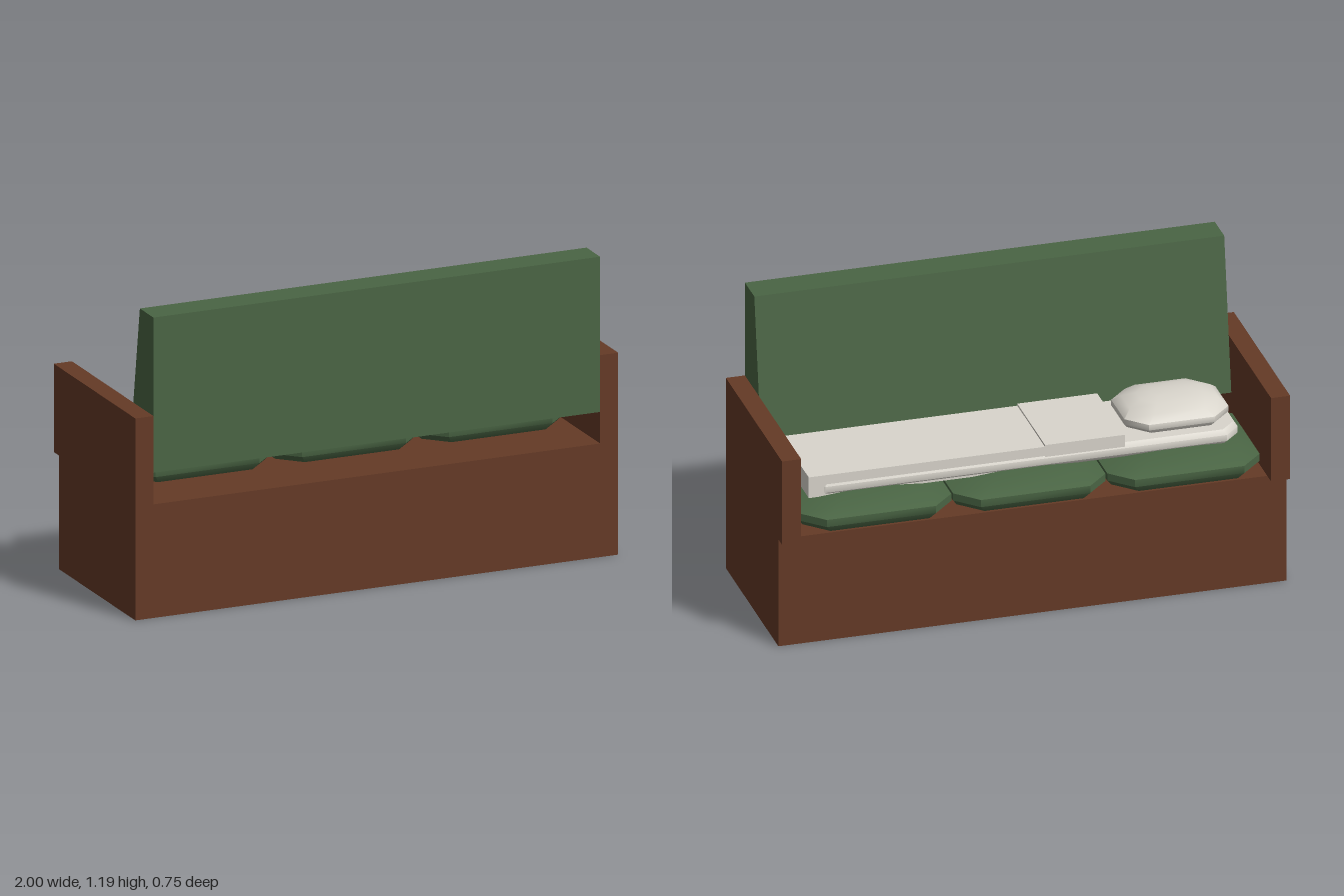
import * as THREE from 'three';
import { toCreasedNormals } from 'three/addons/utils/BufferGeometryUtils.js';

const wood = new THREE.MeshStandardMaterial({ color: 0x653a26, side: THREE.DoubleSide });
wood.name = 'brown wood';
const fabric = new THREE.MeshStandardMaterial({ color: 0x4a6544 });
fabric.name = 'green fabric';
const linen = new THREE.MeshStandardMaterial({ color: 0xd9d5cc });
linen.name = 'white linen';

function add(group, name, geometry, material, x = 0, y = 0, z = 0) {
  const mesh = new THREE.Mesh(geometry, material);
  mesh.name = name;
  mesh.position.set(x, y, z);
  group.add(mesh);
  return mesh;
}

// Box given by its minimum and maximum on each axis
function block(group, name, material, [x0, x1], [y0, y1], [z0, z1]) {
  return add(group, name, new THREE.BoxGeometry(x1 - x0, y1 - y0, z1 - z0), material,
    (x0 + x1) / 2, (y0 + y1) / 2, (z0 + z1) / 2);
}

// Soft slab: stacked octagons, each ring being [height, inset], closed by centre points
function softSlab(width, depth, cut, rings, crease) {
  const points = [];
  const index = [];
  for (const [y, inset] of rings) {
    const a = width / 2 - inset;
    const b = depth / 2 - inset;
    const c = Math.min(cut, a * 0.6, b * 0.6);
    const outline = [[a, -b + c], [a, b - c], [a - c, b], [-a + c, b],
      [-a, b - c], [-a, -b + c], [-a + c, -b], [a - c, -b]];
    for (const [x, z] of outline) points.push(x, y, z);
  }
  const n = rings.length;
  for (let r = 0; r < n - 1; r++) {
    for (let i = 0; i < 8; i++) {
      const j = (i + 1) % 8;
      const a = r * 8 + i, b = r * 8 + j;
      index.push(a, a + 8, b, b, a + 8, b + 8);
    }
  }
  points.push(0, rings[0][0], 0, 0, rings[n - 1][0], 0);
  for (let i = 0; i < 8; i++) {
    const j = (i + 1) % 8;
    index.push(n * 8, i, j);
    index.push(n * 8 + 1, (n - 1) * 8 + j, (n - 1) * 8 + i);
  }
  const geometry = new THREE.BufferGeometry();
  geometry.setAttribute('position', new THREE.Float32BufferAttribute(points, 3));
  geometry.setIndex(index);
  return toCreasedNormals(geometry, crease);
}

export function createModel() {
  const model = new THREE.Group();
  model.name = 'sofaBed';

  // Hollow base, open underneath
  const shell = new THREE.BoxGeometry(2, 0.45, 0.7);
  const faces = Array.from(shell.index.array);
  faces.splice(18, 6);
  shell.setIndex(faces);
  shell.clearGroups();
  add(model, 'base', shell, wood, 0, 0.225, 0.025);

  // Armrests overhanging the seat edge
  for (const side of [-1, 1]) {
    add(model, side > 0 ? 'leftArm' : 'rightArm',
      new THREE.BoxGeometry(0.075, 0.35, 0.75), wood, side * 0.9625, 0.625, 0);
  }

  // Backrest with a sloping inner face, floating above the base
  const profile = new THREE.Shape([[0.375, 0.575], [0.375, 1.19], [0.25, 1.19], [0.155, 0.575]]
    .map(([z, y]) => new THREE.Vector2(-z, y)));
  const back = new THREE.ExtrudeGeometry(profile, { depth: 1.85, bevelEnabled: false });
  back.translate(0, 0, -0.925);
  back.rotateY(Math.PI / 2);
  add(model, 'backrest', back, fabric);

  // Three seat cushions
  for (let i = -1; i <= 1; i++) {
    const cushion = softSlab(0.6, 0.53, 0.085,
      [[0.46, 0.02], [0.488, 0], [0.518, 0], [0.542, 0.06], [0.555, 0.14]], 0.7);
    add(model, 'seatCushion', cushion, fabric, i * 0.607 - 0.005, 0, -0.087);
  }

  // Mattress with clipped corners
  add(model, 'mattress', softSlab(1.7, 0.39, 0.06,
    [[0.545, 0.012], [0.56, 0], [0.585, 0], [0.605, 0.012]], 0.8), linen, -0.01, 0, -0.015);

  // Blanket and its folded-back end
  block(model, 'blanket', linen, [-0.09, 0.845], [0.545, 0.632], [-0.205, 0.175]);
  block(model, 'blanketFold', linen, [-0.4, -0.085], [0.585, 0.64], [-0.207, 0.177]);

  // Domed pillow
  add(model, 'pillow', softSlab(0.41, 0.325, 0.075,
    [[0.595, 0.02], [0.622, 0], [0.645, 0], [0.672, 0.03], [0.69, 0.08], [0.697, 0.13]], 0.9),
    linen, -0.637, 0, 0);

  return model;
}
